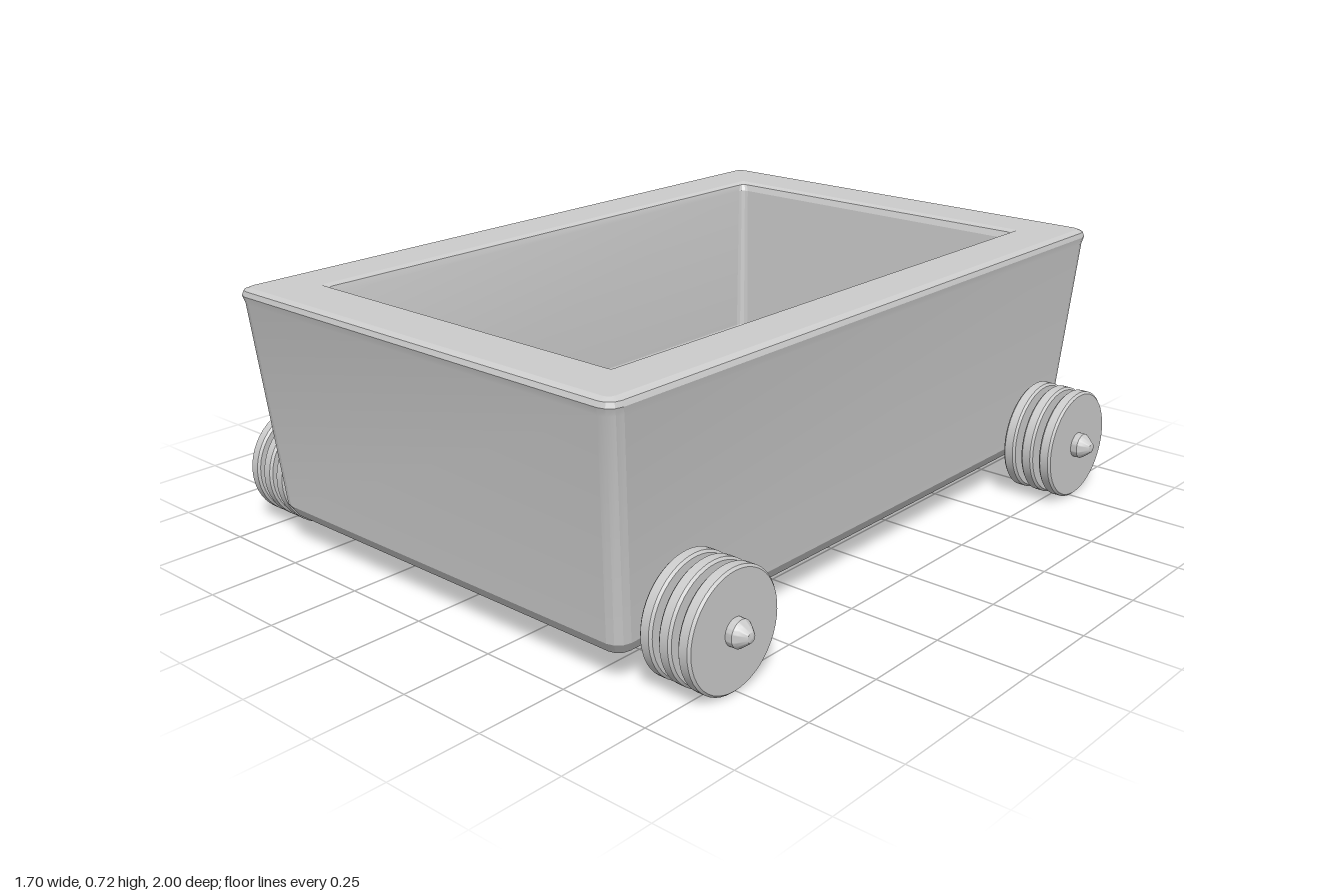
import * as THREE from 'three';
import { toCreasedNormals } from 'three/addons/utils/BufferGeometryUtils.js';

const material = new THREE.MeshStandardMaterial({ color: 0xcccccc });
const CORNER_STEPS = 3;

// One horizontal rounded rectangle: half width, half length, height, corner radius
function ring([hx, hz, y, r]) {
  const points = [];
  const corners = [[1, 1], [-1, 1], [-1, -1], [1, -1]];
  corners.forEach(([sx, sz], c) => {
    for (let i = 0; i <= CORNER_STEPS; i++) {
      const a = (c + i / CORNER_STEPS) * Math.PI / 2;
      points.push([sx * (hx - r) + r * Math.cos(a), y, sz * (hz - r) + r * Math.sin(a)]);
    }
  });
  return points;
}

// Joins successive rings with quads into one continuous skin
function loft(sections) {
  const rings = sections.map(ring);
  const n = rings[0].length;
  const index = [];
  for (let k = 0; k < rings.length - 1; k++) {
    for (let i = 0; i < n; i++) {
      const j = (i + 1) % n;
      const a = k * n + i, b = k * n + j, c = a + n, d = b + n;
      index.push(a, c, b, b, c, d);
    }
  }
  const geometry = new THREE.BufferGeometry();
  geometry.setAttribute('position', new THREE.Float32BufferAttribute(rings.flat(2), 3));
  geometry.setIndex(index);
  return toCreasedNormals(geometry.toNonIndexed(), 0.25);
}

// Tapered tub: underside, outer walls, rim, inner walls, floor
function makeTub() {
  const geometry = loft([
    [0, 0, 0.08, 0],
    [0.58, 0.9, 0.08, 0.02],
    [0.605, 0.925, 0.09, 0.035],
    [0.621, 0.943, 0.12, 0.04],
    [0.658, 0.994, 0.68, 0.04],
    [0.662, 1.0, 0.7, 0.04],
    [0.657, 0.995, 0.713, 0.035],
    [0.64, 0.98, 0.72, 0.02],
    [0.515, 0.845, 0.72, 0.008],
    [0.503, 0.832, 0.713, 0.015],
    [0.498, 0.825, 0.695, 0.02],
    [0.487, 0.812, 0.245, 0.025],
    [0.48, 0.805, 0.225, 0.025],
    [0.462, 0.787, 0.215, 0.015],
    [0, 0, 0.215, 0],
  ]);
  const tub = new THREE.Mesh(geometry, material);
  tub.name = 'tub';
  return tub;
}

// Lathe profile given as radius and distance from the centre line of the cart
function turned(profile, name) {
  const points = profile.map(([r, x]) => new THREE.Vector2(r, x));
  const lathe = new THREE.LatheGeometry(points, 48).toNonIndexed();
  const mesh = new THREE.Mesh(toCreasedNormals(lathe, 0.5), material);
  mesh.name = name;
  return mesh;
}

// Wheel of three bevelled discs on a narrower hub, with a pointed axle end
function makeWheel(name) {
  const wheel = new THREE.Group();
  wheel.name = name;
  const R = 0.154, hub = 0.08, bevel = 0.006, thickness = 0.036;
  const profile = [[0, 0.635], [hub - 0.008, 0.635], [hub, 0.643]];
  for (const x of [0.652, 0.708, 0.764]) {
    profile.push(
      [hub, x], [R - bevel, x], [R, x + bevel],
      [R, x + thickness - bevel], [R - bevel, x + thickness], [hub, x + thickness]
    );
  }
  profile.push([0, 0.8]);
  wheel.add(turned(profile, 'wheelDiscs'));
  wheel.add(turned([
    [0, 0.56], [0.035, 0.56], [0.035, 0.818], [0.028, 0.828], [0.013, 0.846], [0, 0.85],
  ], 'axle'));
  return wheel;
}

export function createModel() {
  const model = new THREE.Group();
  model.name = 'cart';
  model.add(makeTub());

  // Four wheels, mirrored left/right and front/back
  for (const [side, sx] of [['Left', 1], ['Right', -1]]) {
    for (const [end, sz] of [['front', 1], ['back', -1]]) {
      const wheel = makeWheel(`${end}${side}Wheel`);
      wheel.rotation.z = -sx * Math.PI / 2;
      wheel.position.set(0, 0.154, sz * 0.76);
      model.add(wheel);
    }
  }
  return model;
}
